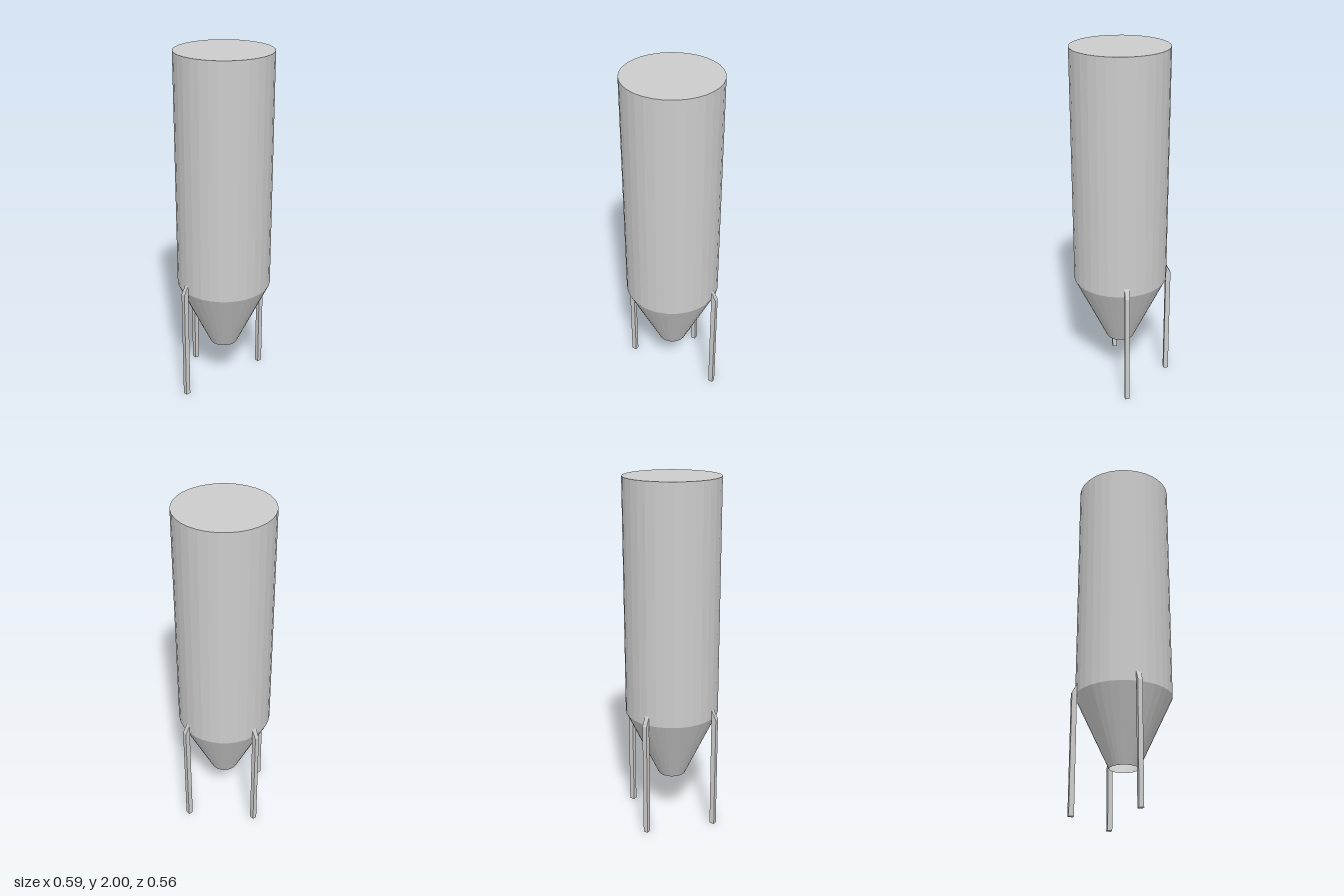
import * as THREE from 'three';

const R = 0.267, SIDES = 32, CENTRE_Z = 0.012;
const LEG_W = 0.026, LEG_D = 0.028;
const SHOULDER = 0.667, OUTLET = 0.27, OUTLET_R = 0.08;

export function createModel() {
  const silo = new THREE.Group();
  silo.name = 'silo';
  silo.position.z = CENTRE_Z;
  const mat = new THREE.MeshStandardMaterial({ color: 0xcccccc, flatShading: true, side: THREE.DoubleSide });

  const add = (name, geometry) => {
    const mesh = new THREE.Mesh(geometry, mat);
    mesh.name = name;
    silo.add(mesh);
    return mesh;
  };

  // Cylindrical tank, open towards the hopper
  const height = 2 - SHOULDER;
  add('tank', new THREE.CylinderGeometry(R, R, height, SIDES, 1, true)).position.y = SHOULDER + height / 2;

  // Flat roof
  const roof = add('roof', new THREE.CircleGeometry(R, SIDES));
  roof.rotation.x = -Math.PI / 2;
  roof.position.y = 2;

  // Conical hopper with an open outlet
  const drop = SHOULDER - OUTLET;
  add('hopper', new THREE.CylinderGeometry(R, OUTLET_R, drop, SIDES, 1, true)).position.y = OUTLET + drop / 2;

  // Leg profile: a post whose top slopes up to the tank wall
  const profile = new THREE.Shape([
    new THREE.Vector2(R, 0),
    new THREE.Vector2(R + LEG_D, 0),
    new THREE.Vector2(R + LEG_D, SHOULDER),
    new THREE.Vector2(R, 0.72),
  ]);
  const legGeometry = new THREE.ExtrudeGeometry(profile, { depth: LEG_W, bevelEnabled: false });
  legGeometry.translate(0, 0, -LEG_W / 2);

  // Three legs: left, back and right
  ['leftLeg', 'backLeg', 'rightLeg'].forEach((name, i) => {
    add(name, legGeometry).rotation.y = i * Math.PI / 2;
  });

  const model = new THREE.Group();
  model.name = 'hopperSilo';
  model.add(silo);
  return model;
}
